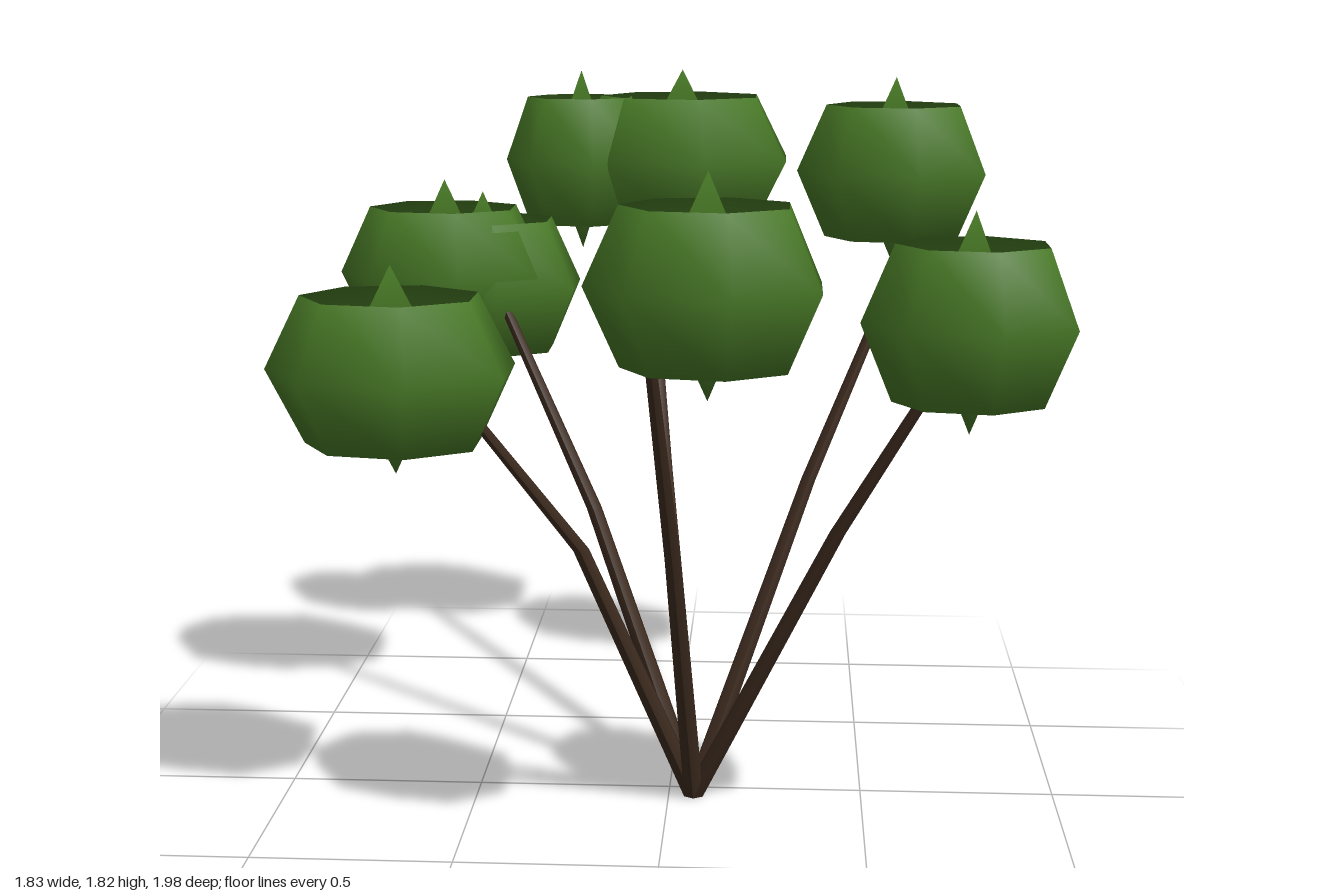
import * as THREE from 'three';

const leafGreen = new THREE.MeshStandardMaterial({ color: 0x467625, side: THREE.DoubleSide });
leafGreen.name = 'leafGreen';
const barkBrown = new THREE.MeshStandardMaterial({ color: 0x3d2b1f });
barkBrown.name = 'barkBrown';

// Leaf clump: seven-sided ball whose two poles swap places, leaving a deep
// dish with a central spike at both top and bottom.
function clumpGeometry() {
  const geo = new THREE.SphereGeometry(1, 7, 4);
  const pos = geo.attributes.position, nor = geo.attributes.normal;
  for (let i = 0; i < pos.count; i++) {
    if (Math.abs(pos.getY(i)) > 0.99) {
      pos.setY(i, -pos.getY(i));
      nor.setY(i, -nor.getY(i));
    }
  }
  return geo;
}

// Branch: tapered tube with level rings at the root, the bend and the tip.
function branchGeometry(points, radii) {
  const geo = new THREE.CylinderGeometry(1, 1, 2, 6, 2);
  const pos = geo.attributes.position;
  for (let i = 0; i < pos.count; i++) {
    const k = Math.round(pos.getY(i)) + 1;
    const [x, y, z] = points[k];
    pos.setXYZ(i, x + pos.getX(i) * radii[k], y, z + pos.getZ(i) * radii[k]);
  }
  geo.computeVertexNormals();
  return geo;
}

export function createModel() {
  const model = new THREE.Group();
  model.name = 'shrub';

  // Branches fan out from one root: [bend, tip]
  const root = [0.065, 0, 0.05];
  const branches = [
    [[-0.2, 0.73, 0.29], [-0.53, 1.25, 0.53]],
    [[0.03, 0.75, 0.43], [-0.01, 1.4, 0.8]],
    [[0.42, 0.78, 0.285], [0.78, 1.46, 0.515]],
    [[0.355, 0.78, -0.24], [0.67, 1.5, -0.53]],
    [[-0.03, 0.77, -0.35], [-0.13, 1.7, -0.8]],
    [[-0.2, 0.74, -0.07], [-0.49, 1.35, -0.22]],
  ];
  branches.forEach(([bend, tip], i) => {
    const mesh = new THREE.Mesh(branchGeometry([root, bend, tip], [0.028, 0.021, 0.013]), barkBrown);
    mesh.name = `branch${i + 1}`;
    model.add(mesh);
  });

  // Leaf clumps: x, y, z, half width; all share one height and depth ratio
  const clumps = [
    [-0.616, 1.203, 0.457, 0.301],
    [0.123, 1.455, 0.785, 0.268],
    [0.693, 1.36, 0.66, 0.243],
    [0.573, 1.577, -0.435, 0.258],
    [-0.005, 1.577, -0.757, 0.322],
    [-0.283, 1.577, -0.7, 0.212],
    [-0.61, 1.315, -0.313, 0.282],
    [-0.515, 1.28, -0.352, 0.275],
  ];
  const geo = clumpGeometry();
  clumps.forEach(([x, y, z, r], i) => {
    const mesh = new THREE.Mesh(geo, leafGreen);
    mesh.name = `leafClump${i + 1}`;
    mesh.position.set(x, y, z);
    mesh.scale.set(r, 0.246, r * 0.77);
    model.add(mesh);
  });

  return model;
}
